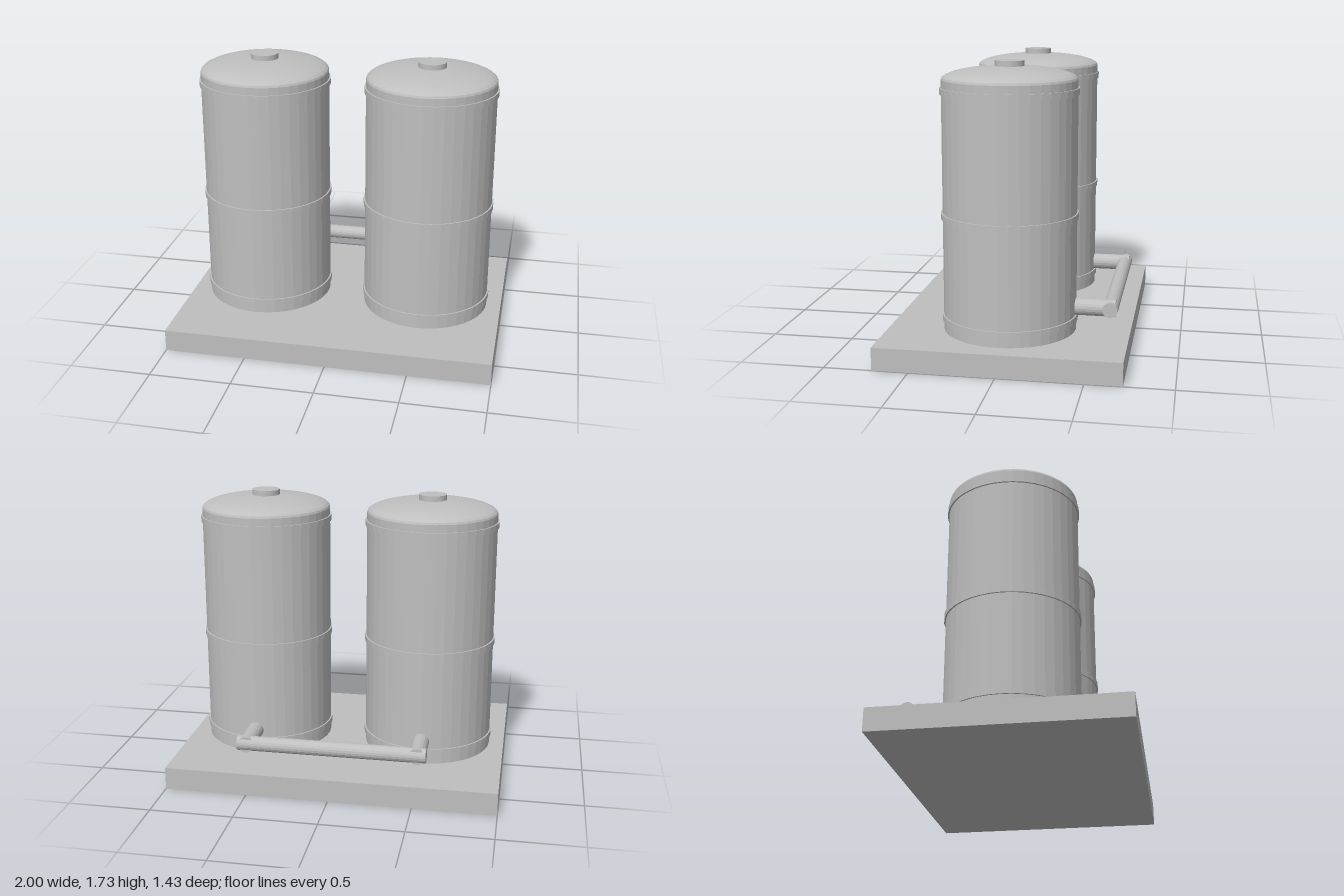
import * as THREE from 'three';

export function createModel() {
  const model = new THREE.Group();
  const steel = new THREE.MeshStandardMaterial({ color: 0xbfbfbf, flatShading: true });
  steel.name = 'grey steel';

  const add = (parent, name, geometry, x = 0, y = 0, z = 0) => {
    const mesh = new THREE.Mesh(geometry, steel);
    mesh.name = name;
    mesh.position.set(x, y, z);
    parent.add(mesh);
    return mesh;
  };
  const cylinder = (radius, length, sides = 32) =>
    new THREE.CylinderGeometry(radius, radius, length, sides);

  // Ground slab
  add(model, 'baseSlab', new THREE.BoxGeometry(2, 0.137, 1.43), 0, 0.0685, 0);

  const tankX = 0.515, pipeY = 0.29, pipeZ = -0.6;
  for (const side of [-1, 1]) {
    const tank = new THREE.Group();
    tank.name = side > 0 ? 'leftTank' : 'rightTank';
    tank.position.x = side * tankX;
    model.add(tank);

    // Shell, just clear of the slab
    add(tank, 'shell', cylinder(0.394, 1.475, 40), 0, 0.147 + 1.475 / 2, 0);

    // Shallow elliptical lid
    const lid = new THREE.SphereGeometry(0.394, 40, 10, 0, Math.PI * 2, 0, Math.PI / 2);
    lid.scale(1, 0.078 / 0.394, 1);
    add(tank, 'domedLid', lid, 0, 1.622, 0);
    add(tank, 'fillerCap', cylinder(0.085, 0.06), 0, 1.7, 0);

    // Reinforcing bands
    for (const y of [0.224, 0.833, 1.558])
      add(tank, 'band', cylinder(0.403, 0.037, 40), 0, y, 0);

    // Outlet running back to the manifold
    add(tank, 'outletPipe', cylinder(0.05, 0.28, 20), 0, pipeY, -0.49).rotation.x = Math.PI / 2;
  }

  // Manifold joining both outlets
  add(model, 'manifoldPipe', cylinder(0.045, 1.14, 20), 0, pipeY, pipeZ).rotation.z = Math.PI / 2;

  return model;
}
